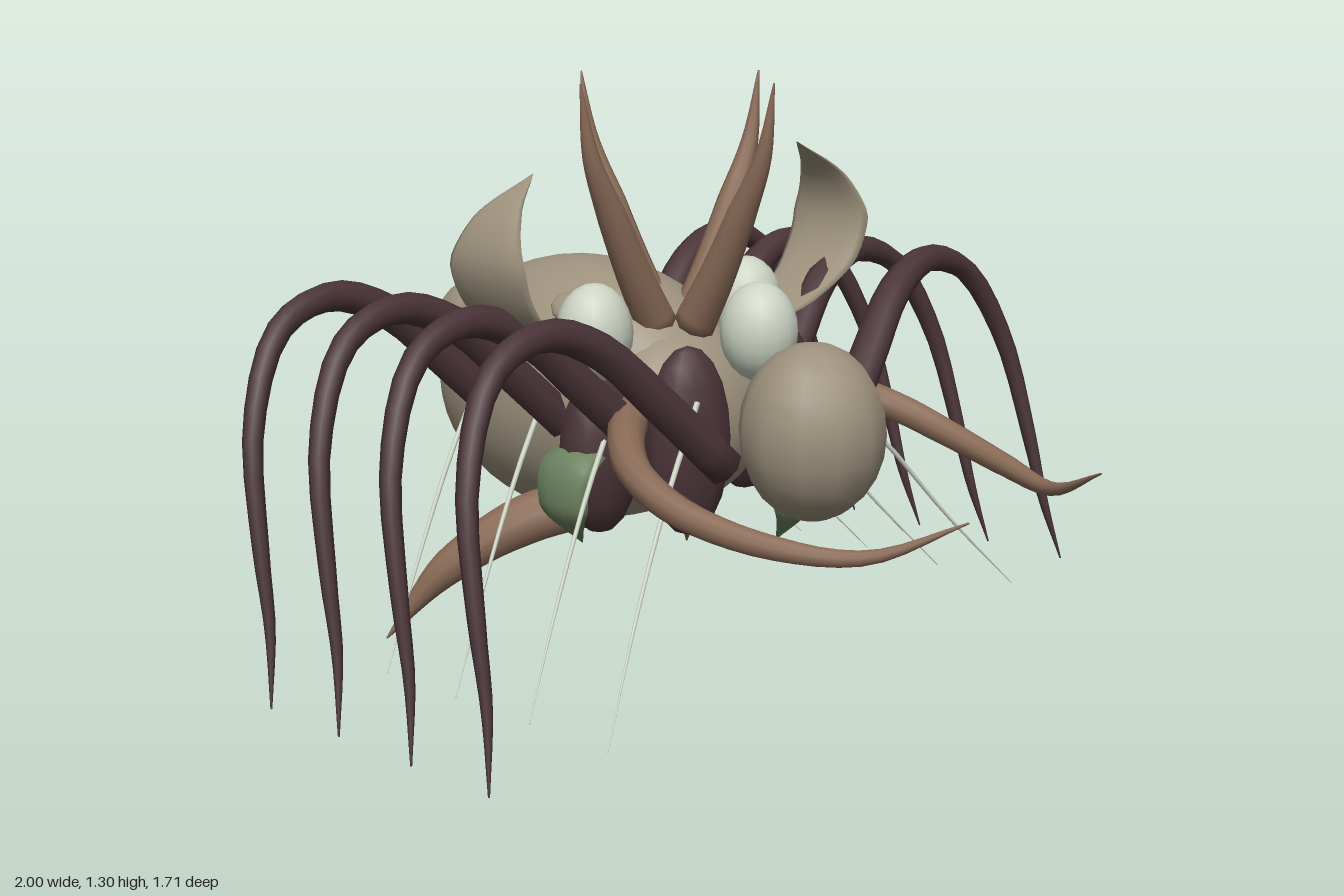
import * as THREE from 'three';

const V = (p) => new THREE.Vector3(...p);
const lerpList = (list, t) => {
  const u = t * (list.length - 1), i = Math.min(Math.floor(u), list.length - 2);
  return THREE.MathUtils.lerp(list[i], list[i + 1], u - i);
};

// Tapered, closed sweep along a curve; "flat" squashes the section across the ref axis
function sweep(points, radii, { ref = [0, 0, 1], flat = 1, segs = 20, sides = 10 } = {}) {
  const curve = new THREE.CatmullRomCurve3(points.map(V));
  const pos = [], index = [];
  for (let i = -1; i <= segs + 1; i++) {
    const t = Math.min(Math.max(i / segs, 0), 1);
    const r = i < 0 || i > segs ? 0 : lerpList(radii, t);
    const c = curve.getPoint(t), T = curve.getTangent(t);
    const S = V(ref).addScaledVector(T, -V(ref).dot(T)).normalize();
    const N = T.clone().cross(S);
    for (let j = 0; j < sides; j++) {
      const a = (j / sides) * Math.PI * 2;
      const p = c.clone().addScaledVector(S, Math.cos(a) * r).addScaledVector(N, Math.sin(a) * r * flat);
      pos.push(p.x, p.y, p.z);
    }
  }
  for (let i = 0; i < segs + 2; i++) for (let j = 0; j < sides; j++) {
    const a = i * sides + j, b = i * sides + ((j + 1) % sides);
    index.push(a, b, a + sides, b, b + sides, a + sides);
  }
  const g = new THREE.BufferGeometry();
  g.setAttribute('position', new THREE.Float32BufferAttribute(pos, 3));
  g.setIndex(index);
  g.computeVertexNormals();
  return g;
}

export function createModel() {
  const group = new THREE.Group();
  const mat = (name, color) => {
    const m = new THREE.MeshStandardMaterial({ color });
    m.name = name;
    return m;
  };
  const beige = mat('beige shell', 0x9c917c);
  const dark = mat('dark plum', 0x4a3438);
  const brown = mat('horn brown', 0x8a6b57);
  const pale = mat('pale eye', 0xccd4c4);
  const green = mat('moss green', 0x6c8260);

  const add = (name, geometry, material, parent = group) => {
    const m = new THREE.Mesh(geometry, material);
    m.name = name;
    parent.add(m);
    return m;
  };
  const ball = (name, material, p, r, ws = 16, hs = 12) => {
    const m = add(name, new THREE.SphereGeometry(1, ws, hs), material);
    m.position.set(...p);
    m.scale.set(...r);
    return m;
  };

  // Body
  const C = [0, 0.55, -0.42], R = [0.29, 0.315, 0.437];
  ball('abdomen', beige, C, R, 32, 24);
  ball('thorax', beige, [0, 0.53, -0.14], [0.24, 0.22, 0.2], 24, 16);
  ball('head', beige, [0, 0.545, 0.27], [0.165, 0.2, 0.165], 12, 12);

  // Bumps lying on the abdomen: x, z, radius across, radius along
  const bumps = [
    [-0.15, -0.71, 0.085, 0.11], [0.16, -0.62, 0.07, 0.1],
    [-0.18, -0.52, 0.05, 0.06], [-0.18, -0.29, 0.045, 0.06],
    [0.25, -0.53, 0.045, 0.06], [0.21, -0.31, 0.04, 0.05],
  ];
  for (const [x, z, rx, rz] of bumps) {
    const k = 1 - (x / R[0]) ** 2 - ((z - C[2]) / R[2]) ** 2;
    const y = C[1] + R[1] * Math.sqrt(Math.max(k, 0));
    const n = new THREE.Vector3(x / R[0] ** 2, (y - C[1]) / R[1] ** 2, (z - C[2]) / R[2] ** 2).normalize();
    const big = rx > 0.06;
    const b = ball('abdomenBump', beige, [x, y, z], [rx, big ? 0.05 : 0.018, rz], 10, 8);
    b.quaternion.setFromUnitVectors(new THREE.Vector3(0, 1, 0), n);
  }

  // Crown of four horns, radiating from the thorax
  const horn = sweep([[0.06, 0.74, 0], [0.13, 0.86, 0], [0.2, 1.0, 0], [0.265, 1.14, 0], [0.295, 1.3, 0]],
    [0.05, 0.043, 0.035, 0.02, 0.002]);
  // Green sepals below each eye
  const sepal = sweep([[0.26, 0.5, 0], [0.35, 0.46, 0], [0.365, 0.37, 0], [0.31, 0.28, 0]],
    [0.06, 0.085, 0.075, 0.002], { flat: 0.35 });
  for (let i = 0; i < 4; i++) {
    const arm = new THREE.Group();
    arm.name = 'crownArm';
    arm.position.z = -0.14;
    arm.rotation.y = (i * Math.PI) / 2;
    group.add(arm);
    add('horn', horn, brown, arm);
    if (i !== 1) add('sepal', sepal, green, arm);
  }

  // Eyes
  ball('frontEye', pale, [0, 0.75, 0.115], [0.088, 0.112, 0.088]);

  for (const s of [-1, 1]) {
    const side = (pts) => pts.map(([x, y, z]) => [s * x, y, z]);
    ball('sideEye', pale, [s * 0.257, 0.75, -0.145], [0.088, 0.112, 0.085]);

    // Dark lobes round the thorax
    ball('sideLobe', dark, [s * 0.25, 0.475, -0.14], [0.1, 0.185, 0.085], 12, 10);
    const lobe = ball('frontLobe', dark, [s * 0.17, 0.52, 0.055], [0.1, 0.215, 0.065], 12, 10);
    lobe.rotation.y = s * 0.5;

    // Curled leaf-shaped wings
    add('wing', sweep(side([[0.27, 0.69, -0.14], [0.4, 0.74, -0.14], [0.53, 0.83, -0.14], [0.575, 0.94, -0.14],
      [0.54, 1.04, -0.14], [0.44, 1.12, -0.14]]), [0.04, 0.085, 0.115, 0.118, 0.07, 0.002],
    { flat: 0.13, segs: 24, sides: 12 }), beige);

    // Feelers reaching forward
    add('feeler', sweep(side([[0.17, 0.58, -0.09], [0.33, 0.56, 0.02], [0.435, 0.515, 0.15], [0.46, 0.465, 0.3],
      [0.42, 0.425, 0.5], [0.335, 0.42, 0.68], [0.243, 0.505, 0.855]]),
    [0.045, 0.042, 0.037, 0.032, 0.026, 0.016, 0.002], { ref: [0, 1, 0], segs: 28 }), brown);

    // Rear spurs touching the ground
    add('rearSpur', sweep(side([[0.14, 0.33, -0.25], [0.29, 0.275, -0.37], [0.42, 0.17, -0.48], [0.52, 0.005, -0.58]]),
      [0.065, 0.06, 0.042, 0.002], { ref: [0, 1, 0] }), brown);

    // Four arched legs, each with a fine bristle
    for (let i = 0; i < 4; i++) {
      const z0 = 0.105 - i * 0.225;
      const arch = [[0.2, 0.49], [0.36, 0.65], [0.5, 0.78], [0.645, 0.835], [0.8, 0.785], [0.91, 0.6],
        [0.95, 0.35], [0.965, 0.18], [0.998, 0.025]];
      add('leg', sweep(side(arch.map(([x, y]) => [x, y, z0 + (0.84 - y) * 0.238])),
        [0.045, 0.044, 0.04, 0.034, 0.028, 0.023, 0.018, 0.012, 0.002], { segs: 28, sides: 8 }), dark);
      const zb = 0.13 - i * 0.225;
      add('bristle', sweep(side([[0.2, 0.62, zb - 0.02], [0.38, 0.44, zb + 0.05], [0.55, 0.23, zb + 0.12],
        [0.715, 0.035, zb + 0.205]]), [0.007, 0.006, 0.004, 0.001], { segs: 10, sides: 6 }), pale);
    }
  }
  return group;
}
